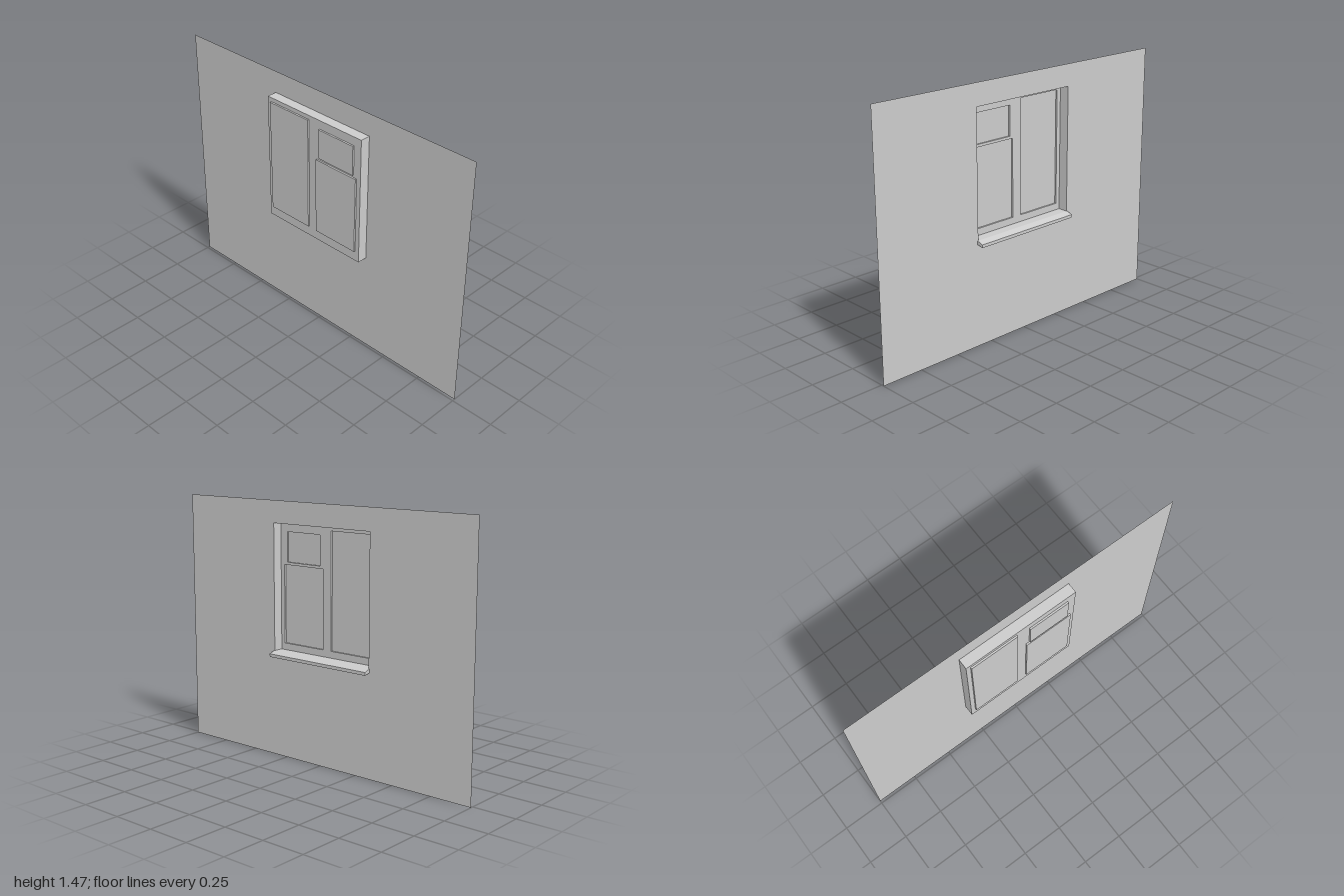
import * as THREE from 'three';

const material = new THREE.MeshStandardMaterial({
  color: 0xcccccc, flatShading: true, side: THREE.DoubleSide,
});

// Depths along x: wall face, frame plane, glass plane
const WALL = 0.0155, FRAME = -0.043, GLASS = -0.053;
const SILL_BOTTOM = 0.592, SILL_TOP = 0.614;

// Rectangles are given as [z0, z1, y0, y1]
const opening = [-0.34, 0.34, SILL_BOTTOM, 1.34];
const panes = {
  tallPane: [-0.314, -0.029, 0.653, 1.316],
  lowerPane: [0.029, 0.314, 0.653, 1.104],
  upperPane: [0.049, 0.292, 1.119, 1.29],
};

function corners([z0, z1, y0, y1]) {
  return [[-z1, y0], [-z0, y0], [-z0, y1], [-z1, y1]].map(([u, y]) => new THREE.Vector2(u, y));
}

// Flat sheet facing +x at depth x, with rectangular cut-outs
function sheet(rect, x, holes = []) {
  const shape = new THREE.Shape(corners(rect));
  holes.forEach((h) => shape.holes.push(new THREE.Path(corners(h).reverse())));
  return new THREE.ShapeGeometry(shape).rotateY(Math.PI / 2).translate(x, 0, 0);
}

// Open sleeve joining the same rectangle at two depths
function sleeve(rect, xBack, xFront) {
  const pts = corners(rect), pos = [];
  pts.forEach((a, i) => {
    const b = pts[(i + 1) % pts.length];
    const quad = [[xBack, a], [xBack, b], [xFront, b], [xFront, a]];
    [0, 1, 2, 0, 2, 3].forEach((k) => pos.push(quad[k][0], quad[k][1].y, -quad[k][1].x));
  });
  const g = new THREE.BufferGeometry();
  g.setAttribute('position', new THREE.Float32BufferAttribute(pos, 3));
  g.computeVertexNormals();
  return g;
}

function add(parent, name, geometry) {
  const mesh = new THREE.Mesh(geometry, material);
  mesh.name = name;
  parent.add(mesh);
  return mesh;
}

export function createModel() {
  const model = new THREE.Group();
  model.name = 'wallWithWindow';

  // Thin wall with the window opening
  add(model, 'wall', sheet([-1, 1, 0, 1.467], WALL, [opening]));

  // Recessed window: reveal around the opening and the frame behind it
  add(model, 'reveal', sleeve(opening, FRAME, WALL));
  add(model, 'frame', sheet(opening, FRAME, Object.values(panes)));

  // Panes set back from the frame
  for (const [name, rect] of Object.entries(panes)) {
    const pane = new THREE.Group();
    pane.name = name;
    add(pane, 'glazingEdge', sleeve(rect, GLASS, FRAME));
    add(pane, 'glass', sheet(rect, GLASS));
    model.add(pane);
  }

  // Flat ledge inside the opening
  add(model, 'innerSill', sheet([-0.34, 0.34, FRAME, WALL], 0)
    .rotateZ(-Math.PI / 2).translate(0, SILL_TOP, 0));

  // Sloping sill projecting from the wall, slightly wider than the opening
  const profile = new THREE.Shape([
    [WALL, SILL_BOTTOM], [0.053, 0.583], [0.053, 0.601], [WALL, SILL_TOP],
  ].map(([x, y]) => new THREE.Vector2(x, y)));
  add(model, 'outerSill', new THREE.ExtrudeGeometry(profile, { depth: 0.69, bevelEnabled: false })
    .translate(0, 0, -0.345));

  return model;
}
